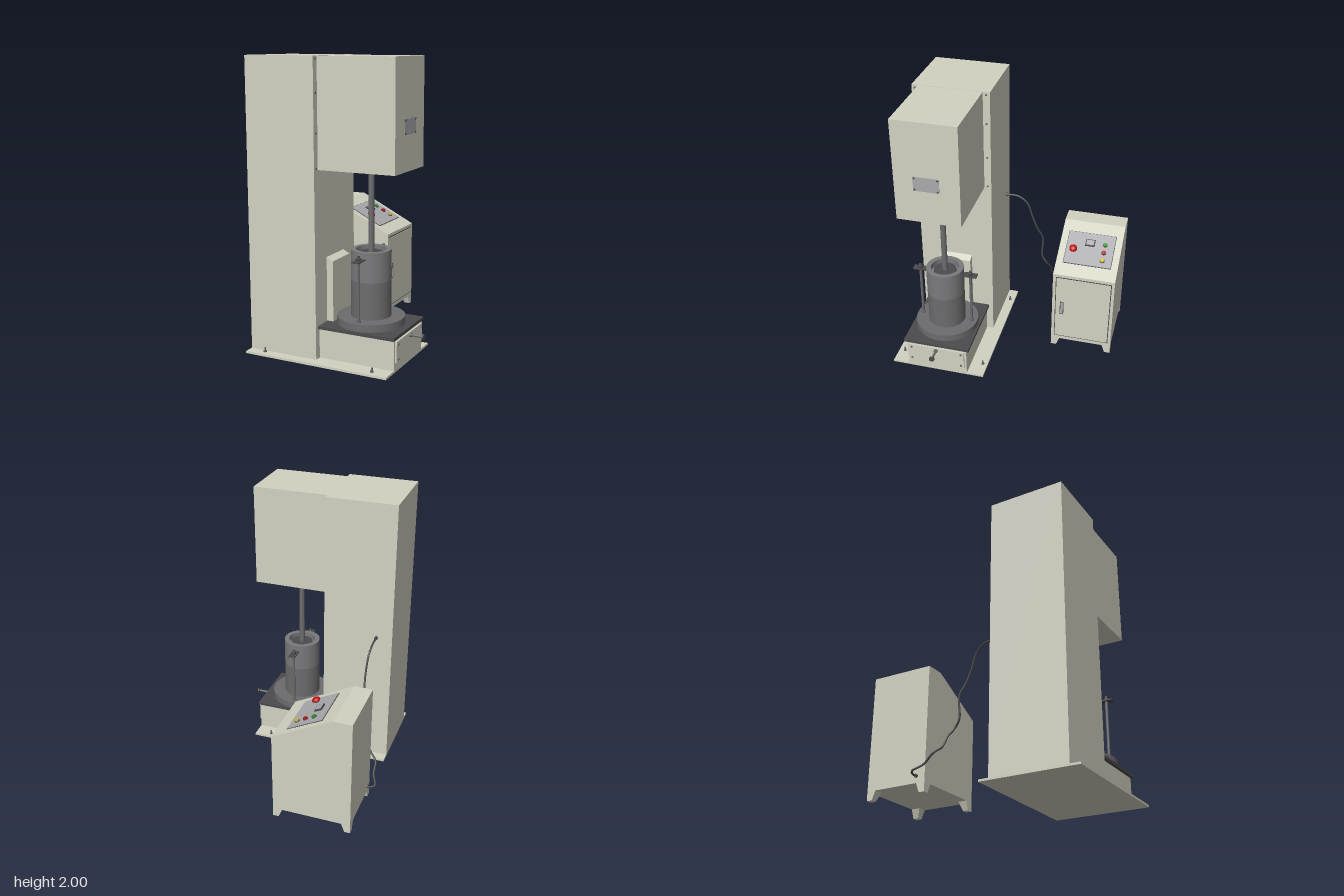
import * as THREE from 'three';

const mat = (color) => new THREE.MeshStandardMaterial({ color });
const M = {
  paint: mat(0xd2d2c2), steel: mat(0x6c6c6e), barrel: mat(0x7a7a7c), dark: mat(0x4c4c4e), plate: mat(0xaaaaae),
  cable: mat(0x4a4a4a), red: mat(0xc01010), green: mat(0x2c9a20), yellow: mat(0xd8b818),
};

function add(parent, name, geometry, material, x = 0, y = 0, z = 0) {
  const mesh = new THREE.Mesh(geometry, material);
  mesh.name = name;
  mesh.position.set(x, y, z);
  parent.add(mesh);
  return mesh;
}

// Box given by its minimum and maximum corners
function box(parent, name, material, [x0, y0, z0], [x1, y1, z1]) {
  const g = new THREE.BoxGeometry(x1 - x0, y1 - y0, z1 - z0);
  return add(parent, name, g, material, (x0 + x1) / 2, (y0 + y1) / 2, (z0 + z1) / 2);
}

// Upright cylinder from y0 to y1
function post(parent, name, material, x, z, r, y0, y1, sides = 24) {
  return add(parent, name, new THREE.CylinderGeometry(r, r, y1 - y0, sides), material, x, (y0 + y1) / 2, z);
}

// Cylinder lying along x from x0 to x1
function bar(parent, name, material, x0, x1, y, z, r, sides = 16) {
  const m = add(parent, name, new THREE.CylinderGeometry(r, r, x1 - x0, sides), material, (x0 + x1) / 2, y, z);
  m.rotation.z = Math.PI / 2;
  return m;
}

// Outline in x and y, extruded from z0 to z1
function prism(parent, name, material, points, z0, z1) {
  const shape = new THREE.Shape(points.map(([x, y]) => new THREE.Vector2(x, y)));
  return add(parent, name, new THREE.ExtrudeGeometry(shape, { depth: z1 - z0, bevelEnabled: false }), material, 0, 0, z0);
}

const CX = 0.225, CZ = 0.427; // press axis

function buildPress() {
  const g = new THREE.Group();
  g.name = 'press';
  box(g, 'basePlate', M.paint, [-0.555, 0, 0.08], [0.495, 0.015, 0.77]);
  box(g, 'column', M.paint, [-0.555, 0.015, 0.152], [-0.047, 2, 0.698]);
  box(g, 'head', M.paint, [-0.047, 1.277, 0.202], [0.495, 1.998, 0.65]);
  box(g, 'pedestal', M.paint, [-0.047, 0.015, 0.202], [0.495, 0.22, 0.65]);
  box(g, 'table', M.dark, [-0.045, 0.22, 0.183], [0.503, 0.24, 0.672]);
  prism(g, 'rearGuide', M.paint, [[-0.047, 0.24], [0, 0.24], [0, 0.655], [-0.047, 0.68]], 0.31, 0.545);

  // Column flange screws and anchor bolts
  for (const z of [0.177, 0.676])
    for (const y of [1.98, 1.77, 1.515, 1.29]) bar(g, 'flangeScrew', M.steel, -0.048, -0.041, y, z, 0.007, 10);
  for (const x of [-0.43, 0.375])
    for (const z of [0.115, 0.725]) {
      post(g, 'anchorNut', M.steel, x, z, 0.011, 0.015, 0.026, 6);
      post(g, 'anchorBolt', M.steel, x, z, 0.006, 0.015, 0.046, 10);
    }

  // Plates on the end faces of the head and pedestal
  box(g, 'ratingPlate', M.plate, [0.494, 1.512, 0.34], [0.498, 1.614, 0.517]);
  for (const z of [0.35, 0.507])
    for (const y of [1.522, 1.604]) bar(g, 'plateScrew', M.dark, 0.497, 0.503, y, z, 0.006, 8);
  box(g, 'accessCover', M.paint, [0.494, 0.066, 0.218], [0.508, 0.208, 0.637]);
  for (const z of [0.24, 0.614])
    for (const y of [0.088, 0.188]) bar(g, 'coverScrew', M.steel, 0.507, 0.514, y, z, 0.008, 10);

  // Drain handle
  bar(g, 'handleCollar', M.steel, 0.507, 0.522, 0.19, CZ, 0.014);
  bar(g, 'handleStem', M.steel, 0.507, 0.6, 0.19, CZ, 0.008);
  bar(g, 'handleKnob', M.dark, 0.597, 0.609, 0.19, CZ, 0.02, 12);
  return g;
}

function buildMould() {
  const g = new THREE.Group();
  g.name = 'mould';
  post(g, 'flange', M.steel, CX, CZ, 0.228, 0.24, 0.29, 48);
  post(g, 'lowerBarrel', M.steel, CX, CZ, 0.135, 0.29, 0.54, 48);
  // Open upper barrel with a recessed mouth
  const profile = [[0.135, 0.54], [0.135, 0.742], [0.135, 0.742], [0.1, 0.742], [0.1, 0.742], [0.1, 0.7], [0.1, 0.7], [0.001, 0.7]];
  add(g, 'upperBarrel', new THREE.LatheGeometry(profile.map((p) => new THREE.Vector2(...p)), 48), M.barrel, CX, 0, CZ);
  post(g, 'ramFoot', M.dark, CX, CZ, 0.08, 0.7, 0.722, 32);
  post(g, 'ramRod', M.steel, CX, CZ, 0.02, 0.71, 1.28, 24);
  // Clamping posts on both sides
  for (const s of [-1, 1]) {
    const z = CZ + s * 0.188;
    post(g, 'clampPost', M.steel, CX, z, 0.01, 0.29, 0.725, 12);
    post(g, 'lowerNut', M.steel, CX, z, 0.016, 0.29, 0.302, 6);
    const half = 0.05;
    box(g, 'clampPlate', M.dark, [CX - 0.026, 0.694, z - half], [CX + 0.026, 0.702, z + half]);
    post(g, 'clampNut', M.dark, CX, z, 0.018, 0.702, 0.718, 6);
    post(g, 'clampTip', M.dark, CX, z, 0.01, 0.718, 0.733, 10);
  }
  return g;
}

function buildCabinet() {
  const g = new THREE.Group();
  g.name = 'controlCabinet';
  const z0 = -0.771, z1 = -0.318;
  prism(g, 'cabinetBody', M.paint, [[-0.555, 0.063], [0, 0.063], [0, 0.655], [-0.424, 0.868], [-0.555, 0.868]], z0, z1);

  // Tapered corner feet, flush with the outer faces
  for (const sx of [-1, 1])
    for (const sz of [-1, 1]) {
      const geo = new THREE.BoxGeometry(0.065, 0.064, 0.065);
      const p = geo.attributes.position;
      for (let i = 0; i < p.count; i++)
        if (p.getY(i) < 0) {
          if (p.getX(i) * sx < 0) p.setX(i, sx * -0.008);
          if (p.getZ(i) * sz < 0) p.setZ(i, sz * -0.008);
        }
      geo.computeVertexNormals();
      add(g, 'foot', geo, M.paint, -0.2775 + sx * 0.245, 0.032, (z0 + z1) / 2 + sz * 0.194);
    }

  // Door framed by a thin border, with a recessed pull
  box(g, 'doorSeam', M.dark, [-0.01, 0.09, -0.75], [0.001, 0.632, -0.34]);
  box(g, 'door', M.paint, [-0.01, 0.097, -0.744], [0.005, 0.625, -0.346]);
  box(g, 'doorPullRim', M.dark, [0, 0.303, -0.406], [0.007, 0.417, -0.378]);
  box(g, 'doorPull', M.plate, [0, 0.309, -0.402], [0.009, 0.411, -0.383]);

  // Control panel lying on the sloped face: local x runs down the slope
  const panel = new THREE.Group();
  panel.name = 'controlPanel';
  panel.position.set(-0.215, 0.763, -0.545);
  panel.rotation.z = -Math.atan2(0.213, 0.424);
  g.add(panel);
  box(panel, 'panelBorder', M.dark, [-0.138, -0.005, -0.177], [0.138, 0.003, 0.177]);
  box(panel, 'panelFace', M.plate, [-0.134, -0.004, -0.173], [0.134, 0.006, 0.173]);
  [M.green, M.red, M.yellow].forEach((m, i) => {
    const x = -0.05 + i * 0.066;
    post(panel, 'lampRing', M.dark, x, -0.105, 0.018, 0.005, 0.011);
    post(panel, 'lamp', m, x, -0.105, 0.014, 0.005, 0.02);
  });
  box(panel, 'switchFrame', M.dark, [-0.078, 0.005, -0.03], [-0.024, 0.016, 0.04]);
  box(panel, 'switchRocker', M.plate, [-0.071, 0.01, -0.022], [-0.031, 0.019, 0.032]);
  post(panel, 'stopButtonStem', M.dark, 0.017, 0.12, 0.02, 0.005, 0.022);
  const cap = new THREE.SphereGeometry(0.029, 28, 10, 0, Math.PI * 2, 0, Math.PI / 2);
  add(panel, 'stopButton', cap, M.red, 0.017, 0.02, 0.12).scale.y = 0.75;
  post(panel, 'stopButtonRim', M.red, 0.017, 0.12, 0.029, 0.016, 0.021, 28);
  return g;
}

function buildCable() {
  const g = new THREE.Group();
  g.name = 'powerCable';
  const path = [
    [-0.44, 1.005, 0.15], [-0.44, 1, 0.05], [-0.435, 0.95, -0.02], [-0.43, 0.84, -0.062], [-0.435, 0.74, -0.1],
    [-0.453, 0.65, -0.14], [-0.443, 0.49, -0.142], [-0.44, 0.43, -0.18], [-0.48, 0.37, -0.201], [-0.53, 0.28, -0.212],
    [-0.575, 0.235, -0.245], [-0.582, 0.17, -0.31], [-0.612, 0.128, -0.375], [-0.59, 0.115, -0.388], [-0.555, 0.11, -0.382],
  ].map((p) => new THREE.Vector3(...p));
  add(g, 'cable', new THREE.TubeGeometry(new THREE.CatmullRomCurve3(path), 120, 0.007, 8), M.cable);
  const gland = add(g, 'columnGland', new THREE.CylinderGeometry(0.012, 0.012, 0.02, 12), M.dark, -0.44, 1.005, 0.143);
  gland.rotation.x = Math.PI / 2;
  bar(g, 'cabinetGland', M.dark, -0.567, -0.553, 0.11, -0.382, 0.012, 12);
  return g;
}

export function createModel() {
  const model = new THREE.Group();
  model.name = 'compactionPress';
  model.add(buildPress(), buildMould(), buildCabinet(), buildCable());
  return model;
}
